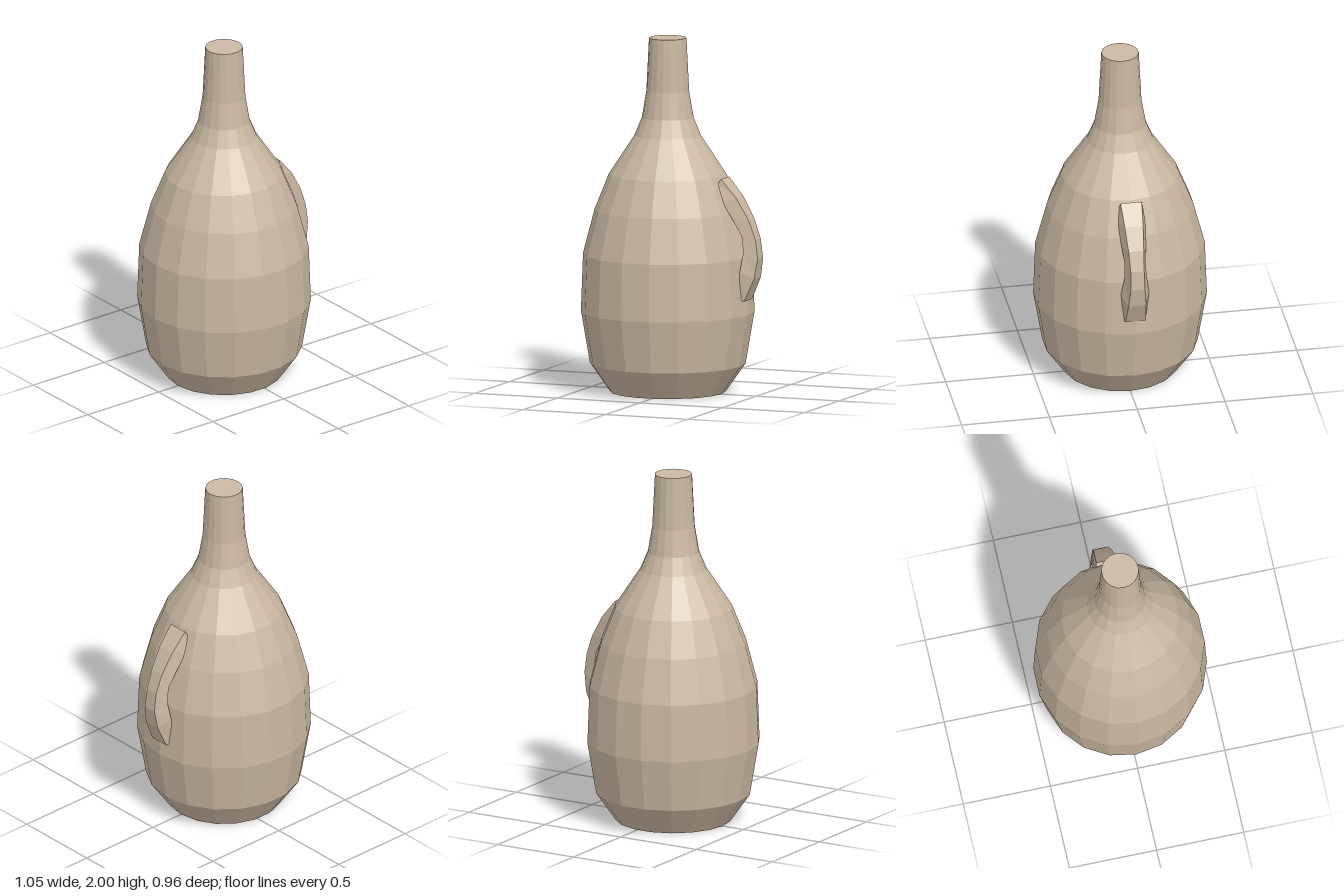
import * as THREE from 'three';

const flat = (geometry) => {
  const g = geometry.index ? geometry.toNonIndexed() : geometry;
  g.computeVertexNormals();
  return g;
};

// Skin four-cornered cross-sections running from the top end to the bottom end
function loftHandle(sections) {
  const points = [], faces = [];
  for (const [ox, oy, ix, iy, ow, iw] of sections) {
    points.push(ox, oy, ow, ox, oy, -ow, ix, iy, -iw, ix, iy, iw);
  }
  const last = (sections.length - 1) * 4;
  for (let i = 0; i < last; i += 4) {
    for (let j = 0; j < 4; j++) {
      const a = i + j, b = i + (j + 1) % 4;
      faces.push(a, a + 4, b + 4, a, b + 4, b);
    }
  }
  faces.push(0, 1, 2, 0, 2, 3, last, last + 2, last + 1, last, last + 3, last + 2);
  const g = new THREE.BufferGeometry();
  g.setAttribute('position', new THREE.Float32BufferAttribute(points, 3));
  g.setIndex(faces);
  return flat(g);
}

export function createModel() {
  const model = new THREE.Group();
  model.name = 'jug';
  const clay = new THREE.MeshStandardMaterial({ color: 0xcab8a2, flatShading: true });
  clay.name = 'clay';

  // Eighteen-sided body with closed base and mouth: [radius, height]
  const profile = [
    [0, 0], [0.325, 0], [0.437, 0.16], [0.487, 0.455], [0.475, 0.78], [0.41, 1.03],
    [0.33, 1.23], [0.186, 1.45], [0.145, 1.55], [0.12, 1.7], [0.105, 2], [0, 2],
  ].map(([r, y]) => new THREE.Vector2(r, y));
  const body = new THREE.Mesh(flat(new THREE.LatheGeometry(profile, 18, Math.PI / 2)), clay);
  body.name = 'body';
  body.position.x = -0.038;
  model.add(body);

  // Handle: outer x, y, inner x, y, outer half width, inner half width
  const handle = new THREE.Mesh(loftHandle([
    [0.31, 1.225, 0.295, 1.2, 0.06, 0.065],
    [0.4, 1.12, 0.325, 1.1, 0.052, 0.078],
    [0.47, 1.0, 0.385, 1.0, 0.043, 0.07],
    [0.51, 0.89, 0.435, 0.91, 0.038, 0.06],
    [0.524, 0.78, 0.447, 0.82, 0.04, 0.063],
    [0.507, 0.67, 0.432, 0.71, 0.05, 0.08],
    [0.45, 0.54, 0.42, 0.55, 0.058, 0.066],
  ]), clay);
  handle.name = 'handle';
  model.add(handle);

  return model;
}
